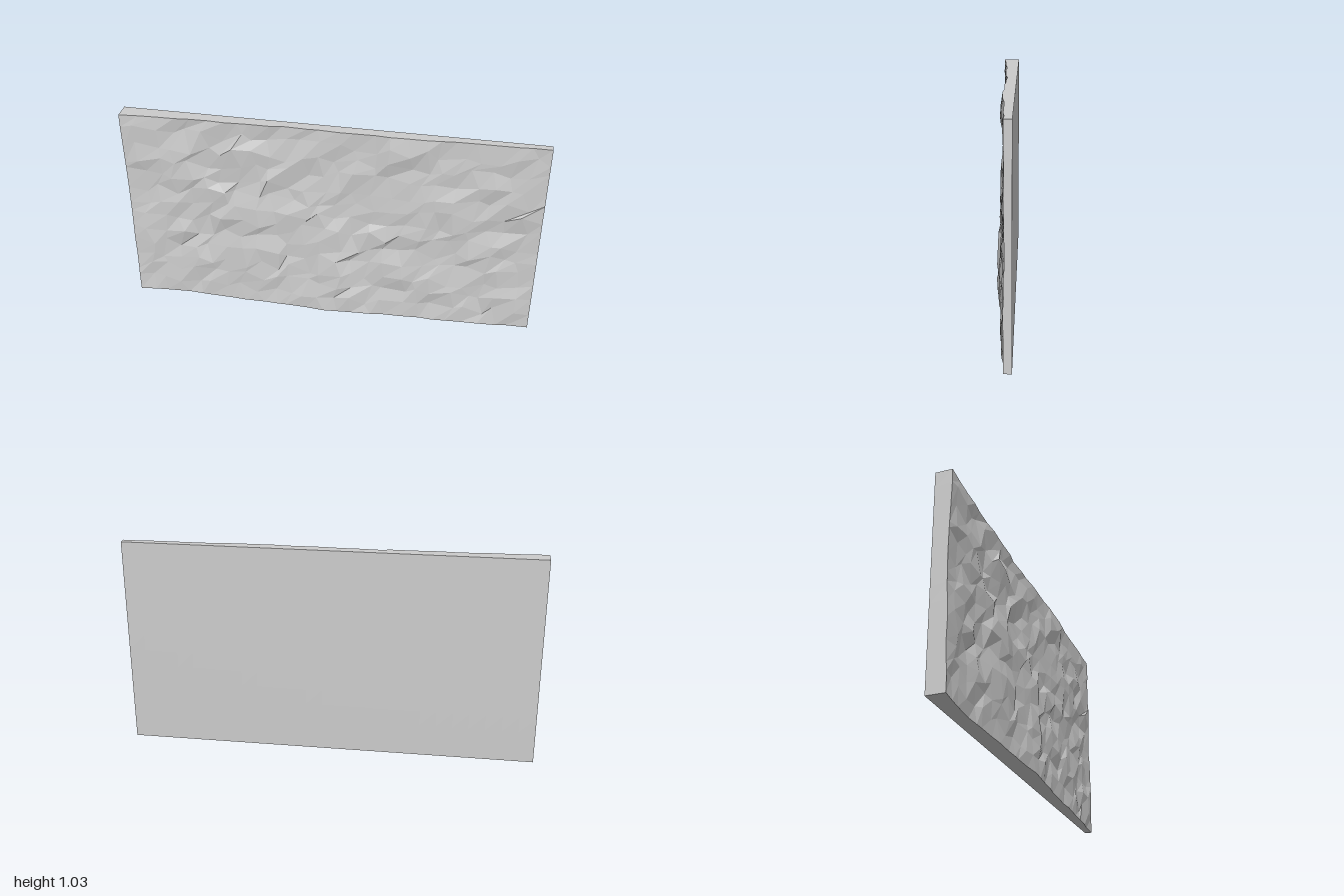
import * as THREE from 'three';

const W = 2, H = 1.03, BACK = -0.05;
const COLS = 25, ROWS = 13;

// Relief heights at even steps from x = -1 to x = 1
const bottomEdge = [0.042, 0.02, 0.022, 0.032, 0.03, 0.043, 0.027, 0.012, 0.012, -0.004, -0.012];
const middle = [0.025, 0.014, 0.012, 0.022, 0.012, 0.015, 0.012, 0.006, -0.002, -0.008, -0.017];
const topEdge = [0.03, 0.018, 0.01, 0.013, -0.002, 0.002, 0.003, 0.006, -0.005, -0.012, -0.016];

// Repeatable pseudo-random value in -1..1 for a grid point
function hash(i, j, seed) {
  const s = Math.sin(i * 127.1 + j * 311.7 + seed * 74.7) * 43758.5453;
  return (s - Math.floor(s)) * 2 - 1;
}

function sample(profile, u) {
  const t = u * (profile.length - 1);
  const k = Math.min(Math.floor(t), profile.length - 2);
  return THREE.MathUtils.lerp(profile[k], profile[k + 1], t - k);
}

function reliefHeight(u, v) {
  return v < 0.5
    ? THREE.MathUtils.lerp(sample(bottomEdge, u), sample(middle, u), v * 2)
    : THREE.MathUtils.lerp(sample(middle, u), sample(topEdge, u), v * 2 - 1);
}

export function createModel() {
  const group = new THREE.Group();
  group.name = 'rockPanel';

  // Slab with a flat back; only the front grid is roughened, and the side walls follow it
  const geometry = new THREE.BoxGeometry(W, H, 0.1, COLS, ROWS, 1);
  const p = geometry.attributes.position;
  for (let n = 0; n < p.count; n++) {
    const x = p.getX(n), y = p.getY(n);
    if (p.getZ(n) < 0) {
      p.setZ(n, BACK);
      continue;
    }
    const u = x / W + 0.5, v = y / H + 0.5;
    const i = Math.round(u * COLS), j = Math.round(v * ROWS);
    const sideX = i === 0 || i === COLS, sideY = j === 0 || j === ROWS;

    // Uneven facets: shift points within the face, keeping the outline straight
    if (!sideX) p.setX(n, x + hash(i, j, 1) * 0.028);
    if (!sideY) p.setY(n, y + hash(i, j, 2) * 0.028);

    const rough = sideX || sideY ? 0.003 : 0.011;
    const z = reliefHeight(u, v) + hash(i, j, 3) * rough;
    p.setZ(n, THREE.MathUtils.clamp(z, -0.02, 0.05));
  }
  geometry.translate(0, H / 2, 0);
  geometry.computeVertexNormals();

  const slab = new THREE.Mesh(
    geometry,
    new THREE.MeshStandardMaterial({ color: 0xcccccc, flatShading: true })
  );
  slab.name = 'roughStoneSlab';
  group.add(slab);
  return group;
}
